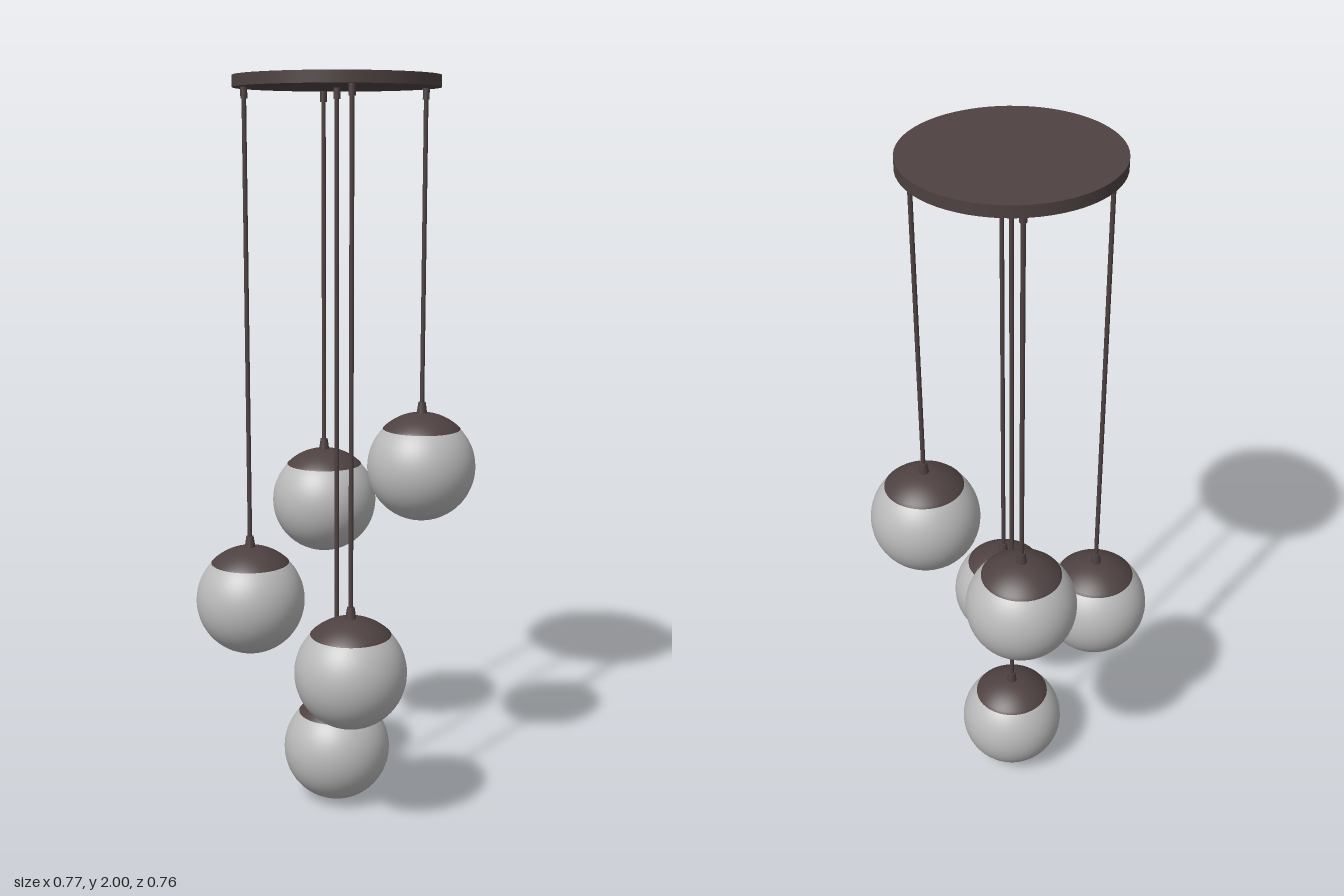
import * as THREE from 'three';

export function createModel() {
  const model = new THREE.Group();
  const bronze = new THREE.MeshStandardMaterial({ color: 0x4e4141 });
  bronze.name = 'dark bronze';
  const glass = new THREE.MeshStandardMaterial({ color: 0xb9b9b9 });
  glass.name = 'frosted grey glass';

  const add = (parent, name, geometry, material, y = 0) => {
    const mesh = new THREE.Mesh(geometry, material);
    mesh.name = name;
    mesh.position.y = y;
    parent.add(mesh);
    return mesh;
  };

  // Ceiling plate
  const cx = 0.002, cz = -0.004, canopyBottom = 1.97;
  add(model, 'ceilingPlate', new THREE.CylinderGeometry(0.27, 0.27, 0.03, 64), bronze, 1.985)
    .position.set(cx, 1.985, cz);

  // Metal cap: a 45 degree dome hugging the globe, closed by a thin rim
  const globeR = 0.149, capR = 0.151;
  const capProfile = [];
  for (let i = 0; i <= 14; i++) {
    const a = (Math.PI / 4) * (1 - i / 14);
    capProfile.push(new THREE.Vector2(capR * Math.sin(a), capR * Math.cos(a)));
  }
  capProfile[14].x = 0;
  const rim = Math.SQRT1_2;
  capProfile.unshift(new THREE.Vector2((globeR - 0.001) * rim, capR * rim));

  // Shared pendant geometry
  const globeGeo = new THREE.SphereGeometry(globeR, 48, 32);
  const capGeo = new THREE.LatheGeometry(capProfile, 48);
  const socketGeo = new THREE.CylinderGeometry(0.01, 0.015, 0.034, 20);
  const gripGeo = new THREE.CylinderGeometry(0.009, 0.009, 0.03, 16);

  // One pendant: globe, cap, socket, cord and the cord grip at the plate
  function addPendant(name, x, y, z) {
    const pendant = new THREE.Group();
    pendant.name = name;
    pendant.position.set(x, y, z);
    const socketY = capR + 0.012;
    const cordStart = socketY + 0.01;
    const cordEnd = canopyBottom - y + 0.005;
    const length = cordEnd - cordStart;
    add(pendant, 'globe', globeGeo, glass);
    add(pendant, 'cap', capGeo, bronze);
    add(pendant, 'socket', socketGeo, bronze, socketY);
    add(pendant, 'cord', new THREE.CylinderGeometry(0.006, 0.006, length, 12), bronze, cordStart + length / 2);
    add(pendant, 'cordGrip', gripGeo, bronze, canopyBottom - y - 0.014);
    model.add(pendant);
  }

  // Lowest pendant in the middle, four around it at stepped heights
  addPendant('centrePendant', cx, 0.153, cz);
  addPendant('leftPendant', 0.234, 0.961, -0.046);
  addPendant('backPendant', -0.038, 0.82, -0.232);
  addPendant('rightPendant', -0.235, 0.602, 0.035);
  addPendant('frontPendant', 0.042, 0.465, 0.229);

  return model;
}
